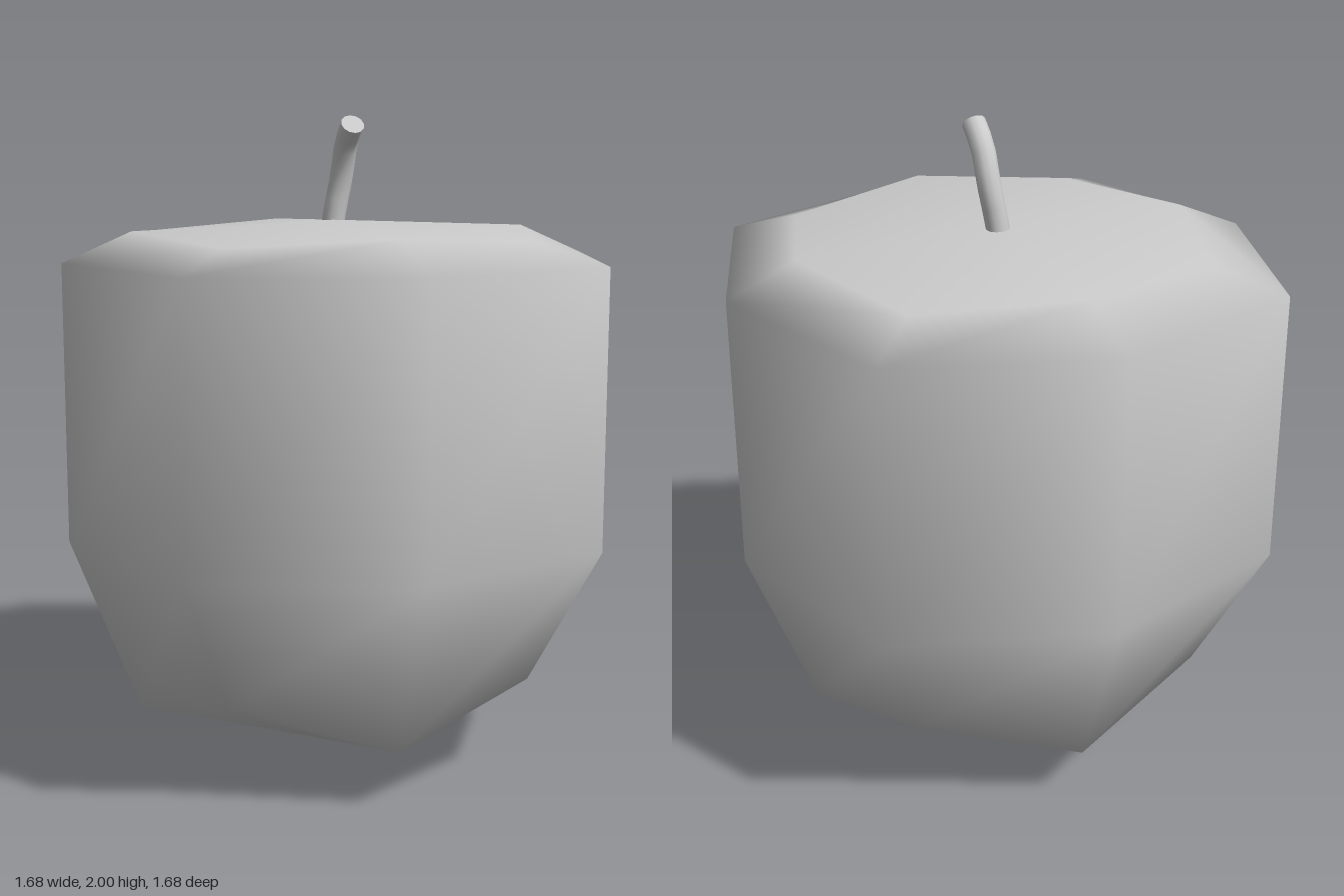
import * as THREE from 'three';

const material = new THREE.MeshStandardMaterial({ color: 0xcccccc });

// Eight-sided rings; each alternates between an axis point and a diagonal point.
// [axis radius, axis y, diagonal radius, diagonal y], bottom to top.
const diag = Math.SQRT2;
const RINGS = [
  [0.63, 0.185, 0.47 * diag, 0.31],
  [0.84, 0.73, 0.63 * diag, 0.73],
  [0.84, 1.57, 0.63 * diag, 1.57],
  [0.63, 1.66, 0.475 * diag, 1.635],
];
const SIDES = 8;

function bodyGeometry() {
  const pos = [0, 0, 0];
  for (const [ra, ya, rd, yd] of RINGS) {
    for (let i = 0; i < SIDES; i++) {
      const a = (i / SIDES) * Math.PI * 2;
      const r = i % 2 ? rd : ra;
      pos.push(r * Math.cos(a), i % 2 ? yd : ya, -r * Math.sin(a));
    }
  }
  pos.push(0, 1.685, 0);
  const top = pos.length / 3 - 1;
  const at = (ring, i) => 1 + ring * SIDES + (i % SIDES);

  const index = [];
  for (let i = 0; i < SIDES; i++) {
    index.push(0, at(0, i + 1), at(0, i)); // bottom point
    for (let k = 0; k < RINGS.length - 1; k++) {
      index.push(at(k, i), at(k, i + 1), at(k + 1, i + 1));
      index.push(at(k, i), at(k + 1, i + 1), at(k + 1, i));
    }
    index.push(at(RINGS.length - 1, i), at(RINGS.length - 1, i + 1), top); // top cap
  }
  const geo = new THREE.BufferGeometry();
  geo.setAttribute('position', new THREE.Float32BufferAttribute(pos, 3));
  geo.setIndex(index);
  geo.computeVertexNormals();
  return geo;
}

// Bent stem with a flat cut end
function createStem() {
  const stem = new THREE.Group();
  stem.name = 'stem';
  const radius = 0.036;
  const curve = new THREE.CatmullRomCurve3([
    new THREE.Vector3(0.008, 1.64, -0.037),
    new THREE.Vector3(0.014, 1.7, -0.032),
    new THREE.Vector3(0.032, 1.815, -0.016),
    new THREE.Vector3(0.034, 1.915, 0.024),
    new THREE.Vector3(0.034, 1.974, 0.088),
  ]);
  const stalk = new THREE.Mesh(new THREE.TubeGeometry(curve, 7, radius, 12), material);
  stalk.name = 'stalk';

  const cutEnd = new THREE.Mesh(new THREE.CircleGeometry(radius, 12), material);
  cutEnd.name = 'cutEnd';
  cutEnd.position.copy(curve.getPoint(1));
  cutEnd.quaternion.setFromUnitVectors(new THREE.Vector3(0, 0, 1), curve.getTangent(1));

  stem.add(stalk, cutEnd);
  return stem;
}

export function createModel() {
  const model = new THREE.Group();
  model.name = 'fruit';
  const body = new THREE.Mesh(bodyGeometry(), material);
  body.name = 'body';
  model.add(body, createStem());
  return model;
}
